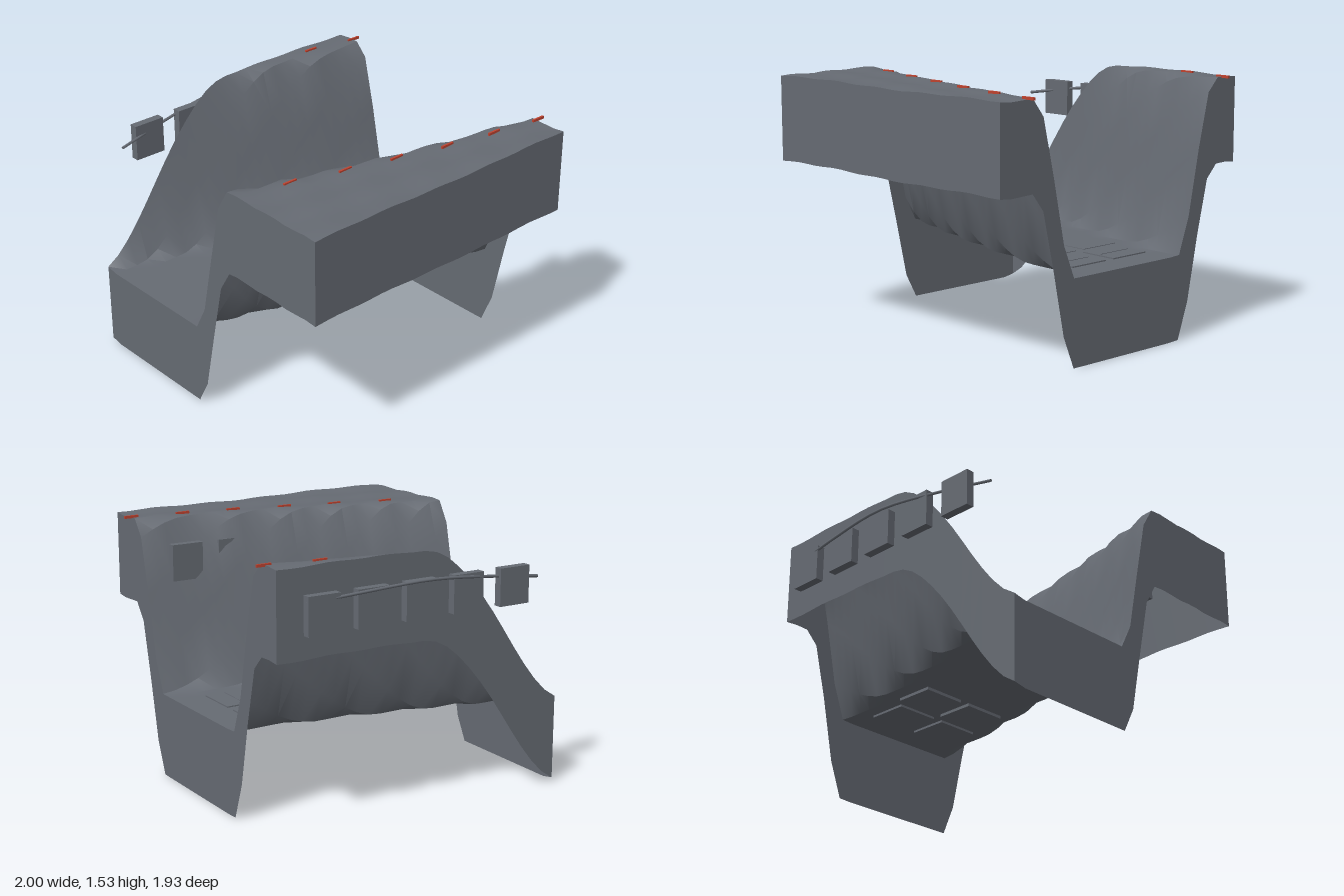
import * as THREE from 'three';
import { toCreasedNormals } from 'three/addons/utils/BufferGeometryUtils.js';

const X0 = -0.888, X1 = 1.0, Z0 = -0.92, Z1 = 0.965, N = 24, DROP = 0.506;

// Height of the ground: a flat, slightly curved gorge running diagonally between two rims
function height(x, z) {
  const centre = -0.205 - 0.243 * z + 0.04 * (1 - (z / 0.94) ** 2);
  const t = THREE.MathUtils.smoothstep(Math.abs(x - centre) - 0.425, 0, 0.297);
  const floor = 0.516 + 0.006 * z;
  const rim = 1.517 + 0.004 * Math.sin(24 * x + 5 * z) + 0.003 * Math.sin(17 * z - 6 * x);
  return THREE.MathUtils.lerp(floor, rim, t);
}

// Vertical strip hanging from one edge of the ground
function skirtGeometry(ax, az, bx, bz) {
  const pos = [], idx = [];
  for (let i = 0; i <= N; i++) {
    const x = ax + (bx - ax) * i / N, z = az + (bz - az) * i / N, y = height(x, z);
    pos.push(x, y, z, x, y - DROP, z);
    if (i < N) {
      const a = i * 2;
      idx.push(a, a + 1, a + 2, a + 1, a + 3, a + 2);
    }
  }
  const g = new THREE.BufferGeometry();
  g.setAttribute('position', new THREE.Float32BufferAttribute(pos, 3));
  g.setIndex(idx);
  g.computeVertexNormals();
  return g;
}

export function createModel() {
  const model = new THREE.Group();
  model.name = 'gorge';
  const rock = new THREE.MeshStandardMaterial({ color: 0x666b73, side: THREE.DoubleSide });
  rock.name = 'slate grey';
  const red = new THREE.MeshStandardMaterial({ color: 0xc0432f });
  red.name = 'marker red';

  const add = (name, geometry, material) => {
    const mesh = new THREE.Mesh(geometry, material);
    mesh.name = name;
    model.add(mesh);
    return mesh;
  };
  const box = (name, w, h, d, x, y, z, material = rock) =>
    add(name, new THREE.BoxGeometry(w, h, d), material).position.set(x, y, z);

  // Ground surface, creased where the walls meet floor and rim
  const ground = new THREE.PlaneGeometry(X1 - X0, Z1 - Z0, N, N);
  ground.rotateX(-Math.PI / 2).translate((X0 + X1) / 2, 0, (Z0 + Z1) / 2);
  const p = ground.attributes.position;
  for (let i = 0; i < p.count; i++) p.setY(i, height(p.getX(i), p.getZ(i)));
  add('ground', toCreasedNormals(ground, 0.6), rock);

  // Skirts around the four edges, open underneath
  add('frontSkirt', skirtGeometry(X0, Z1, X1, Z1), rock);
  add('rightSkirt', skirtGeometry(X1, Z1, X1, Z0), rock);
  add('backSkirt', skirtGeometry(X1, Z0, X0, Z0), rock);
  add('leftSkirt', skirtGeometry(X0, Z0, X0, Z1), rock);

  // Rows of panels: one hanging outside, one set into the opposite wall
  for (const z of [-0.67, -0.36, -0.05, 0.265, 0.585]) {
    box('hangingPanel', 0.05, 0.22, 0.2, -0.94, 1.262, z);
    box('wallPanel', 0.05, 0.22, 0.2, 0.597, 1.262, z);
  }

  // Rope behind the hanging panels
  const rope = new THREE.CatmullRomCurve3([
    [-0.94, 1.33, -0.77], [-0.97, 1.355, -0.45], [-0.99, 1.375, 0],
    [-0.945, 1.33, 0.45], [-0.895, 1.28, 0.8],
  ].map(v => new THREE.Vector3(...v)));
  add('rope', new THREE.TubeGeometry(rope, 16, 0.009, 6), rock);

  // Slabs sunk into the gorge floor
  for (const x of [-0.2, 0.135]) {
    box('floorSlab', 0.27, 0.02, 0.245, x, 0.509, -0.61);
    box('slabBar', 0.23, 0.006, 0.008, x, 0.519, -0.61);
    box('floorSlab', 0.27, 0.02, 0.24, x - 0.065, 0.507, -0.31);
  }

  // Red markers along both rims
  const markers = [[-0.77, -0.925], [-0.82, -0.61], [0.8, -0.925], [0.75, -0.61],
    [0.69, -0.295], [0.61, 0.02], [0.53, 0.33], [0.44, 0.65]];
  for (const [x, z] of markers) box('rimMarker', 0.012, 0.016, 0.088, x, 1.523, z, red);

  return model;
}
